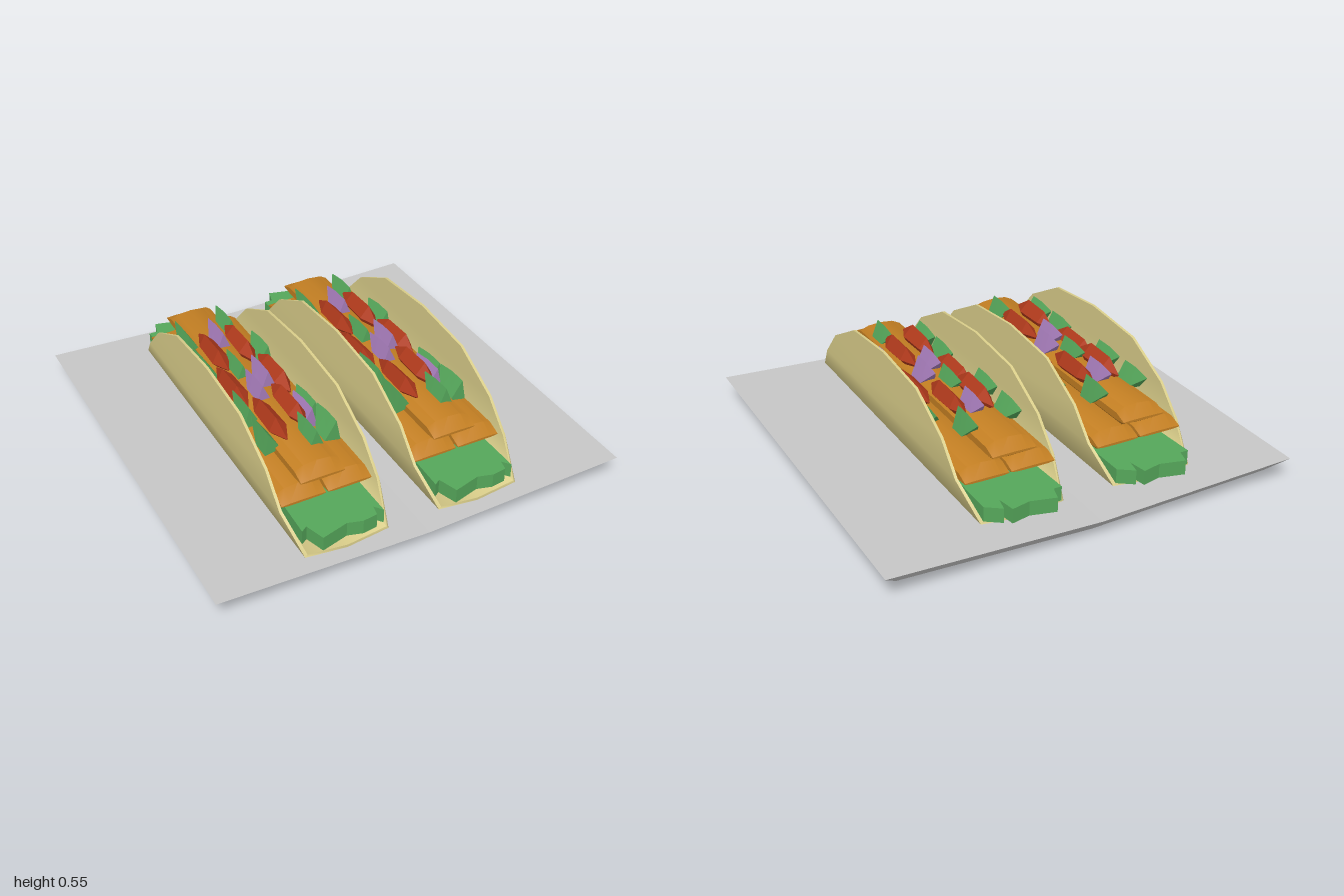
import * as THREE from 'three';
import { toCreasedNormals } from 'three/addons/utils/BufferGeometryUtils.js';

const mat = (name, color) => {
  const m = new THREE.MeshStandardMaterial({ color });
  m.name = name;
  return m;
};

// Closed skin over equal-length rings; crease sets which edges stay sharp.
function loft(rings, crease = 0.1) {
  const n = rings[0].length, idx = [], last = (rings.length - 1) * n;
  for (let i = 0; i < rings.length - 1; i++) {
    for (let j = 0; j < n; j++) {
      const a = i * n + j, b = i * n + (j + 1) % n;
      idx.push(a, b, b + n, a, b + n, a + n);
    }
  }
  for (let j = 1; j < n - 1; j++) {
    idx.push(0, j + 1, j, last, last + j, last + j + 1);
  }
  const g = new THREE.BufferGeometry();
  g.setAttribute('position', new THREE.Float32BufferAttribute(rings.flat(2), 3));
  g.setIndex(idx);
  return toCreasedNormals(g, crease);
}

// Shallow folded tray, narrower underneath
function plateGeometry() {
  const g = new THREE.BoxGeometry(2, 1, 2, 2, 1, 1);
  const p = g.attributes.position;
  for (let i = 0; i < p.count; i++) {
    const x = p.getX(i), rise = 0.035 * Math.abs(x);
    if (p.getY(i) > 0) p.setY(i, 0.08 + rise);
    else p.setXYZ(i, x * 0.92, rise, p.getZ(i) * 0.92);
  }
  return toCreasedNormals(g, 0.01);
}

// Folded shell: [outer x, outer y, inner x, inner y, half length], from top rim to the fold
function shellGeometry() {
  const side = [
    [0.24, 0.55, 0.227, 0.55, 0.002], [0.24, 0.52, 0.227, 0.52, 0.345],
    [0.24, 0.395, 0.227, 0.395, 0.59], [0.24, 0.26, 0.227, 0.262, 0.72],
    [0.2, 0.115, 0.189, 0.128, 0.875],
  ];
  const ring = (s) => ([ox, oy, ix, iy, h]) => [
    [s * ox, oy, -h], [s * ix, iy, -h], [s * ix, iy, h], [s * ox, oy, h],
  ];
  const fold = ring(1)([0, 0.095, 0, 0.108, 0.88]);
  return loft([...side.map(ring(-1)), fold, ...side.map(ring(1)).reverse()], 1.3);
}

// Ragged leaf slab, outlined in x and -z
function lettuceGeometry() {
  const outline = [
    [-0.18, -0.86], [-0.15, -0.84], [-0.12, -0.935], [0.01, -0.9], [0.08, -0.92],
    [0.15, -0.91], [0.16, -0.86], [0.19, -0.9], [0.185, -0.4], [0.17, 0], [0.19, 0.4],
    [0.19, 0.83], [0.12, 0.88], [0.105, 0.81], [0.09, 0.9], [0, 0.88],
    [-0.12, 0.91], [-0.14, 0.84], [-0.18, 0.84], [-0.16, 0.4], [-0.18, 0], [-0.165, -0.4],
  ];
  const shape = new THREE.Shape(outline.map(([x, y]) => new THREE.Vector2(x, y)));
  const g = new THREE.ExtrudeGeometry(shape, { depth: 0.07, bevelEnabled: false });
  return g.rotateX(-Math.PI / 2);
}

// Long flattened filling strip with wedge ends
function stripGeometry() {
  const section = [
    [0.105, -0.008], [0.105, 0.025], [0.065, 0.044], [0, 0.05], [-0.065, 0.044],
    [-0.105, 0.025], [-0.105, -0.008], [-0.075, -0.04], [0, -0.046], [0.075, -0.04],
  ];
  const stations = [[-0.73, 0.12], [-0.67, 1], [0.67, 1], [0.73, 0.12]];
  return loft(stations.map(([z, s]) => section.map(([x, y]) => [x, y * s, z])), 0.6);
}

// Slim four-sided sliver, pointed at both ends
function sliverGeometry() {
  const section = [[0.042, 0], [0, 0.06], [-0.042, 0], [0, -0.06]];
  const stations = [[-0.17, 0.08], [-0.08, 0.9], [0.08, 1], [0.17, 0.08]];
  return loft(stations.map(([z, s]) => section.map(([x, y]) => [x * s, y * s, z])));
}

// Chopped piece: ridged prism, pointed at the back
function chunkGeometry() {
  const tri = (z) => [[0.04, -0.05, z], [0, 0.05, z], [-0.04, -0.05, z]];
  const tip = [[0.003, 0.03, -0.09], [0, 0.036, -0.09], [-0.003, 0.03, -0.09]];
  return loft([tip, tri(0), tri(0.09)]);
}

export function createModel() {
  const root = new THREE.Group();
  const grey = mat('plate grey', 0xc6c6c6);
  const corn = mat('shell yellow', 0xdace8a);
  const green = mat('leaf green', 0x55a65a);
  const orange = mat('filling orange', 0xc27e22);
  const red = mat('tomato red', 0xb03a1c);
  const purple = mat('onion purple', 0xa67cba);

  const add = (parent, name, geo, material, x = 0, y = 0, z = 0, roll = 0) => {
    const m = new THREE.Mesh(geo, material);
    m.name = name;
    m.position.set(x, y, z);
    m.rotation.z = roll;
    parent.add(m);
  };

  add(root, 'plate', plateGeometry(), grey);

  const shell = shellGeometry(), lettuce = lettuceGeometry(), strip = stripGeometry();
  const sliver = sliverGeometry(), chunk = chunkGeometry();

  // Toppings: x, y, z, roll
  const tomatoes = [
    [-0.078, 0.41, -0.245, 0.15], [0.062, 0.41, -0.255, -0.1], [-0.105, 0.385, 0.02, 0.2],
    [0.122, 0.37, -0.01, -0.2], [-0.073, 0.41, 0.345, 0.15], [0.047, 0.41, 0.29, -0.1],
  ];
  const leaves = [
    [-0.143, 0.4, -0.45, 0.15], [0.082, 0.4, -0.49, -0.1], [0.162, 0.36, -0.26, -0.2],
    [-0.158, 0.4, -0.2, 0.15], [-0.033, 0.41, -0.1, 0], [-0.138, 0.4, 0.2, 0.1],
    [0.152, 0.36, 0.24, -0.2], [-0.143, 0.4, 0.41, 0.2], [0.167, 0.36, 0.41, -0.2],
    [0.037, 0.41, 0.49, 0],
  ];
  const onions = [
    [-0.008, 0.42, -0.37, 0], [0.042, 0.42, 0.01, 0], [-0.028, 0.42, 0.1, 0.05],
    [0.112, 0.37, 0.29, -0.15],
  ];

  for (const [name, x] of [['rightTaco', -0.362], ['leftTaco', 0.29]]) {
    const taco = new THREE.Group();
    taco.name = name;
    taco.position.x = x;
    add(taco, 'shell', shell, corn, 0, 0, 0.05);
    add(taco, 'lettuce', lettuce, green, 0, 0.13, 0);
    add(taco, 'lowerRightFilling', strip, orange, -0.11, 0.255, 0.012);
    add(taco, 'lowerLeftFilling', strip, orange, 0.112, 0.255, 0.012);
    add(taco, 'upperFilling', strip, orange, -0.018, 0.345, 0.012);
    for (const t of tomatoes) add(taco, 'tomatoSliver', sliver, red, ...t);
    for (const t of leaves) add(taco, 'leafPiece', chunk, green, ...t);
    for (const t of onions) add(taco, 'onionPiece', chunk, purple, ...t);
    root.add(taco);
  }
  return root;
}
